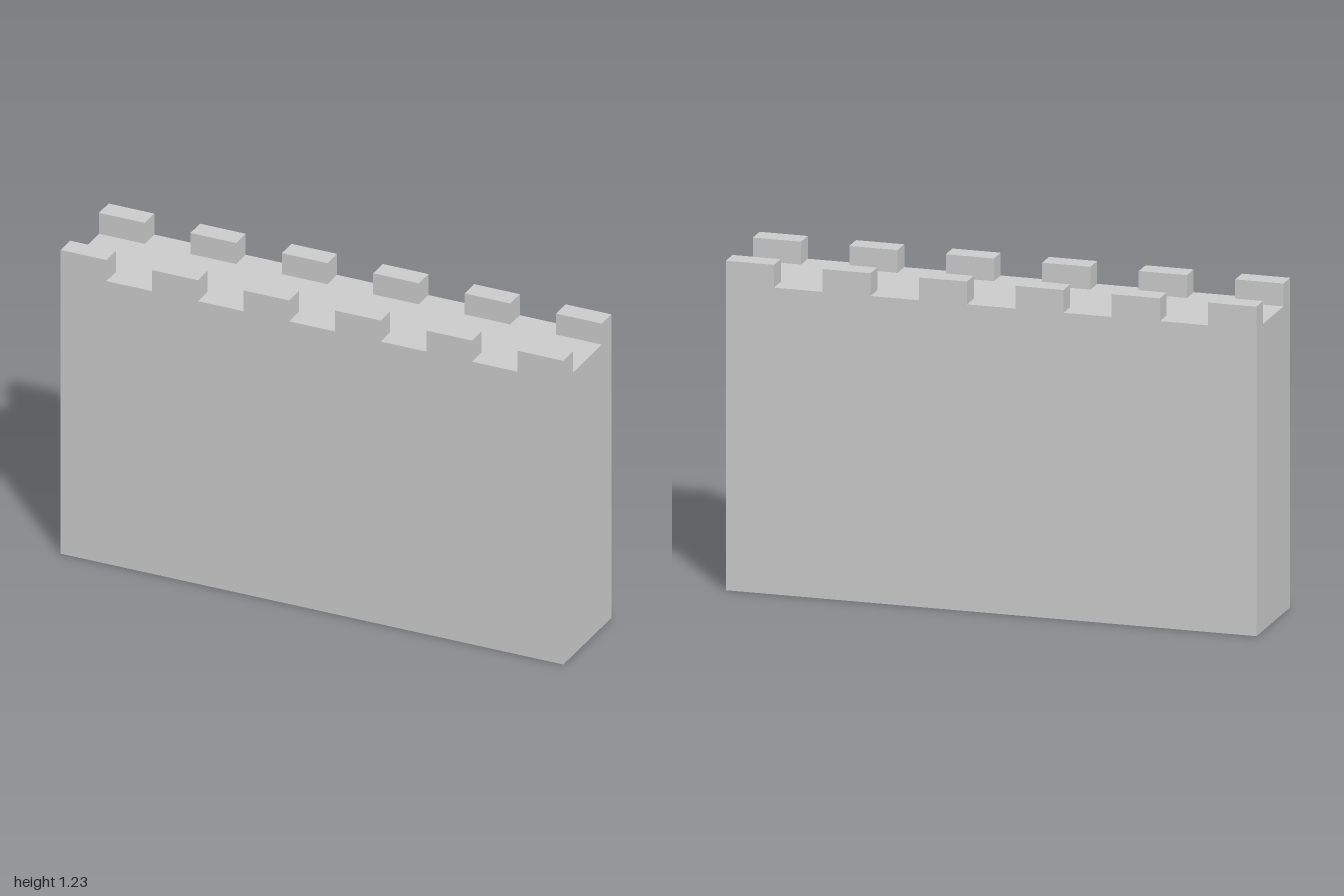
import * as THREE from 'three';

const LENGTH = 2, DEPTH = 0.4;
const WALK_HEIGHT = 1.145, TOP_HEIGHT = 1.23;
const MERLON_DEPTH = 0.08, MERLON_COUNT = 6;

export function createModel() {
  const model = new THREE.Group();
  model.name = 'castleWall';
  const stone = new THREE.MeshStandardMaterial({ color: 0xcccccc, flatShading: true });

  // Solid wall up to the walkway
  const wall = new THREE.Mesh(new THREE.BoxGeometry(LENGTH, WALK_HEIGHT, DEPTH), stone);
  wall.name = 'wall';
  wall.position.y = WALK_HEIGHT / 2;
  model.add(wall);

  // Merlons and gaps share one width, with a merlon at each end
  const width = LENGTH / (2 * MERLON_COUNT - 1);
  const height = TOP_HEIGHT - WALK_HEIGHT;
  const merlonGeometry = new THREE.BoxGeometry(width, height, MERLON_DEPTH);

  for (const [name, side] of [['frontParapet', 1], ['backParapet', -1]]) {
    const parapet = new THREE.Group();
    parapet.name = name;
    parapet.position.set(0, WALK_HEIGHT + height / 2, side * (DEPTH - MERLON_DEPTH) / 2);
    for (let i = 0; i < MERLON_COUNT; i++) {
      const merlon = new THREE.Mesh(merlonGeometry, stone);
      merlon.name = 'merlon';
      merlon.position.x = -LENGTH / 2 + width * (2 * i + 0.5);
      parapet.add(merlon);
    }
    model.add(parapet);
  }
  return model;
}
